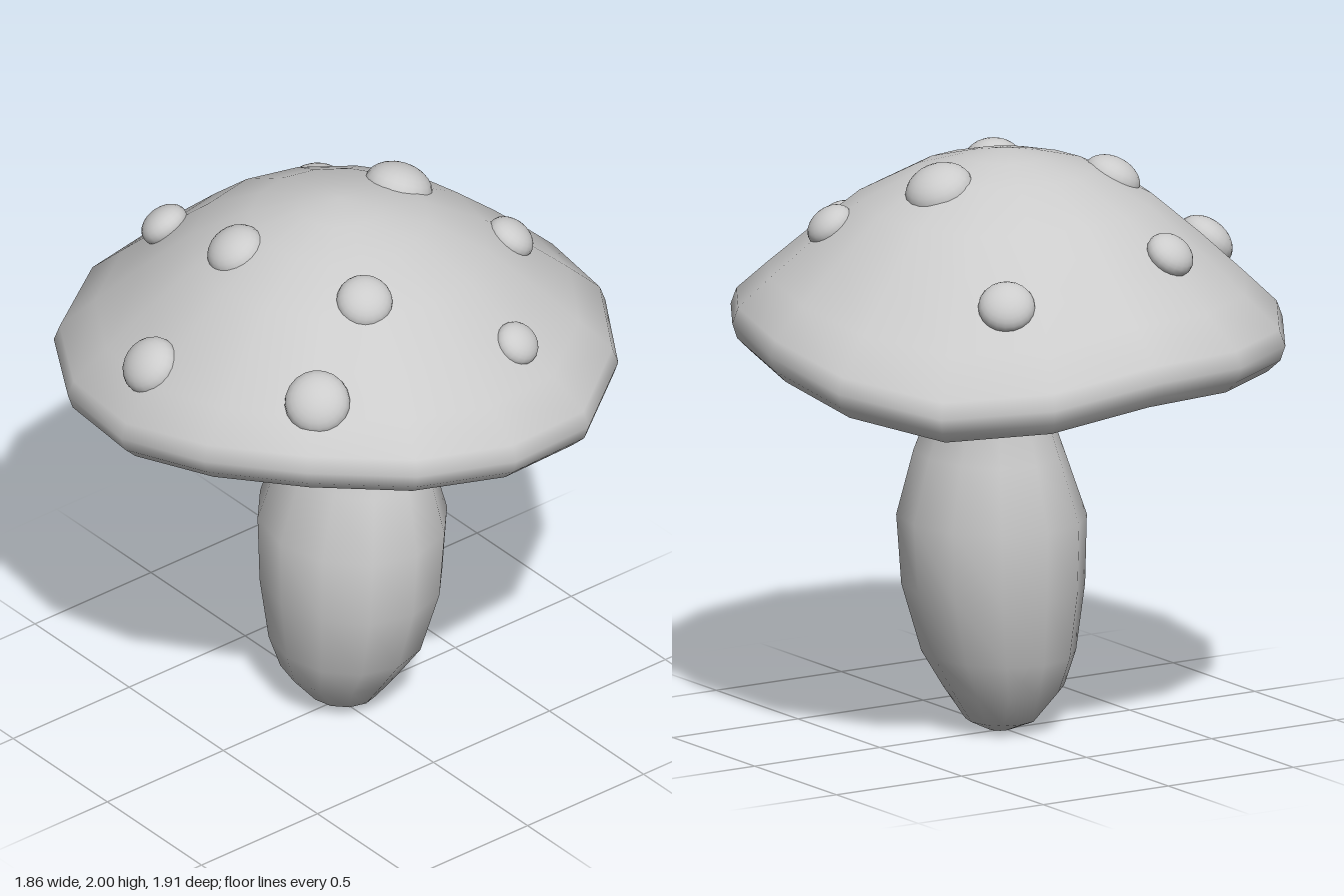
import * as THREE from 'three';
import { mergeVertices, toCreasedNormals } from 'three/addons/utils/BufferGeometryUtils.js';

const material = new THREE.MeshStandardMaterial({ color: 0xcccccc });

// Lathe a profile of [radius, y] points, then move each vertex by a rule
function bentLathe(profile, sides, rule) {
  const lathe = new THREE.LatheGeometry(profile.map(([r, y]) => new THREE.Vector2(r, y)), sides);
  const p = lathe.attributes.position;
  const v = new THREE.Vector3();
  for (let i = 0; i < p.count; i++) {
    rule(v.fromBufferAttribute(p, i), Math.floor(i / profile.length) % sides, i % profile.length);
    p.setXYZ(i, v.x, v.y, v.z);
  }
  lathe.deleteAttribute('uv');
  lathe.deleteAttribute('normal');
  const welded = mergeVertices(lathe, 1e-4);
  welded.computeVertexNormals();
  return welded;
}

function addMesh(group, name, geometry) {
  const mesh = new THREE.Mesh(geometry, material);
  mesh.name = name;
  group.add(mesh);
  return mesh;
}

export function createModel() {
  const model = new THREE.Group();
  model.name = 'mushroom';

  // Cap: hollow underside, sharp inner lip, rounded rim and dome
  const capProfile = [
    [0, 1.58], [0.22, 1.565], [0.45, 1.52], [0.64, 1.455], [0.79, 1.375], [0.895, 1.303],
    [0.94, 1.345], [0.957, 1.395], [0.937, 1.45], [0.82, 1.555], [0.67, 1.685],
    [0.5, 1.825], [0.3, 1.93], [0.14, 1.973], [0, 2],
  ];
  // Rim height change and radius for each side, from the front round towards the left
  const rimLift = [0.04, -0.005, 0.02, 0.035, 0, -0.06, -0.11, -0.08,
    -0.02, -0.025, -0.03, -0.015, 0.02, 0.08, 0.11, 0.09];
  const rimRadius = [0.955, 0.956, 0.94, 0.926, 0.93, 0.969, 0.983, 0.972,
    0.96, 0.966, 0.962, 0.944, 0.93, 0.927, 0.934, 0.956];
  const up = new THREE.Vector3(0, 1, 0);
  const cap = bentLathe(capProfile, 16, (v, side) => {
    const weight = Math.min(1, (Math.hypot(v.x, v.z) / 0.9) ** 3);
    const widen = 1 + weight * (rimRadius[side] / 0.957 - 1);
    v.set(v.x * widen, v.y + rimLift[side] * weight, v.z * widen).applyAxisAngle(up, -0.012);
  });
  addMesh(model, 'cap', toCreasedNormals(cap, 0.95));

  // Stem: each ring is [y, centre x, centre z, radius x, radius z]
  const stemRings = [
    [0, 0.02, 0, 0, 0], [0.005, 0.02, 0, 0.04, 0.04], [0.04, 0.015, 0, 0.118, 0.125],
    [0.15, 0.005, 0, 0.2, 0.212], [0.27, 0.015, 0.015, 0.252, 0.28],
    [0.5, 0.03, 0.025, 0.3, 0.33], [0.74, 0.04, 0.02, 0.31, 0.345],
    [0.96, 0.05, 0.02, 0.24, 0.29], [1.17, 0.055, 0.005, 0.165, 0.215],
    [1.32, 0.06, 0, 0.15, 0.203], [1.47, 0.06, 0, 0.155, 0.205],
    [1.575, 0.06, 0, 0.19, 0.235], [1.6, 0.06, 0, 0, 0],
  ];
  const stem = bentLathe(stemRings.map(([y, , , rx]) => [rx ? 1 : 0, y]), 12, (v, side, ring) => {
    const [, cx, cz, rx, rz] = stemRings[ring];
    v.x = cx + v.x * rx;
    v.z = cz + v.z * rz;
  });
  addMesh(model, 'stem', toCreasedNormals(stem, 1.1));

  // Spots: flattened balls set into the dome, as [x, y, z, radius]
  const spots = [
    [-0.75, 1.6, -0.08, 0.102], [-0.35, 1.875, -0.12, 0.1], [0.295, 1.9, -0.05, 0.117],
    [0.375, 1.612, -0.585, 0.096], [-0.275, 1.71, -0.59, 0.085], [0.535, 1.75, 0.25, 0.085],
    [-0.2, 1.862, 0.38, 0.095], [-0.525, 1.668, 0.53, 0.11], [0.235, 1.655, 0.655, 0.078],
  ];
  const ball = new THREE.SphereGeometry(1, 20, 14);
  const spotGroup = new THREE.Group();
  spotGroup.name = 'spots';
  spots.forEach(([x, y, z, r]) => {
    const spot = addMesh(spotGroup, 'spot', ball);
    const reach = Math.hypot(x, z);
    const steep = (0.15 + 1.05 * reach) / reach;
    spot.position.set(x, y, z);
    spot.scale.set(r, r * 0.7, r);
    spot.quaternion.setFromUnitVectors(up, new THREE.Vector3(x * steep, 1, z * steep).normalize());
  });
  model.add(spotGroup);

  return model;
}
